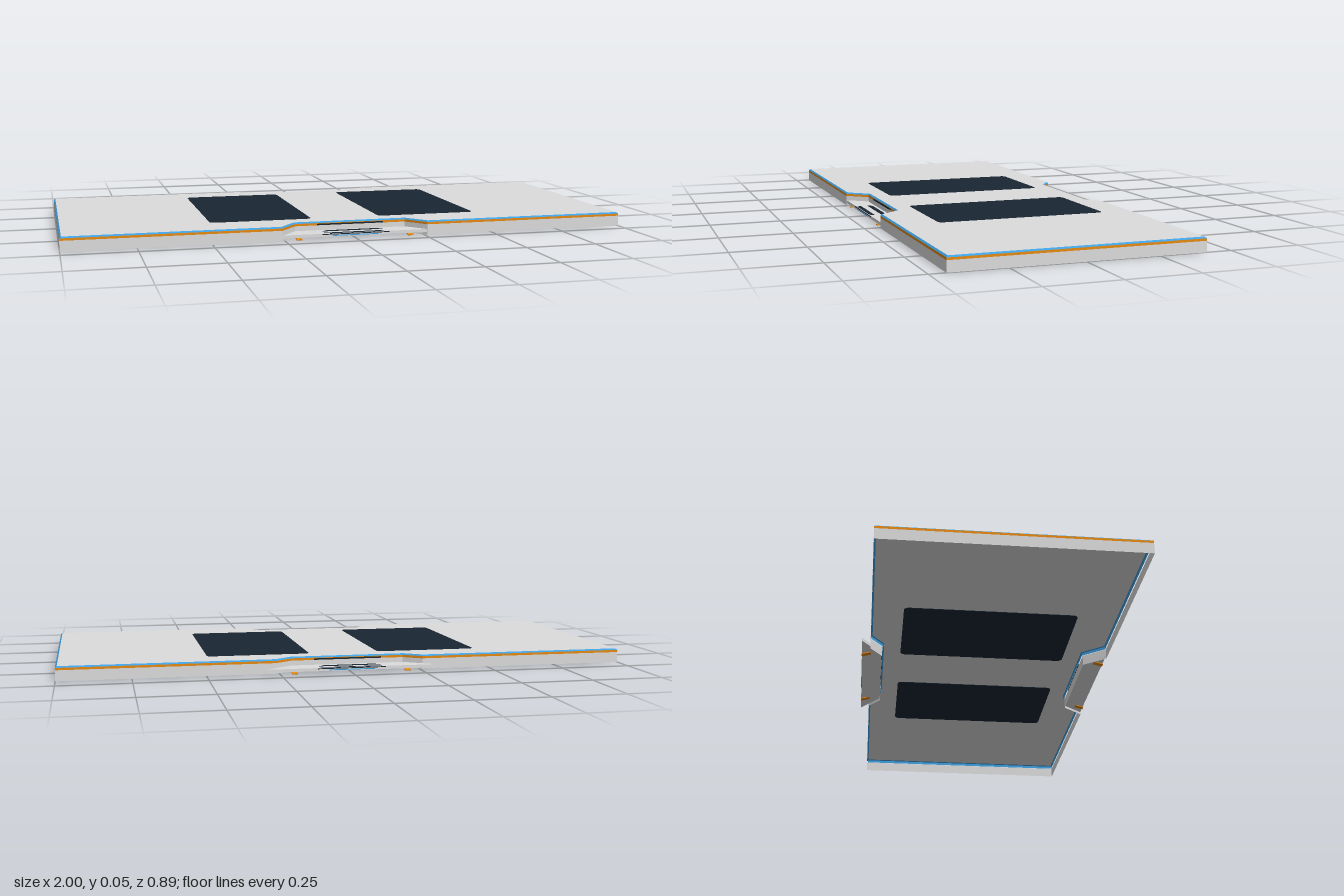
import * as THREE from 'three';

const mat = (name, color, side = THREE.DoubleSide) => {
  const m = new THREE.MeshStandardMaterial({ color, side });
  m.name = name;
  return m;
};

export function createModel() {
  const group = new THREE.Group();
  const grey = mat('light grey', 0xdcdcdc);
  const navy = mat('dark navy', 0x192632);
  const blue = mat('edge blue', 0x3f9fe0);
  const orange = mat('orange', 0xe88a12, THREE.FrontSide);

  const add = (name, geo, material, x = 0, y = 0, z = 0) => {
    const mesh = new THREE.Mesh(geo, material);
    mesh.name = name;
    mesh.position.set(x, y, z);
    group.add(mesh);
    return mesh;
  };

  // Slab outline as [x, z] with a notch front and back, shrunk by d
  const outline = (d) => {
    const k = d * 0.45, w = 1 - d, f = 0.445 - d, b = -0.413 + d, n = 0.37 - d;
    return [
      [-w, f], [-0.26 - k, f], [-0.2 - k, n], [0.2 + k, n], [0.26 + k, f], [w, f],
      [w, b], [0.26 + k, b], [0.2 + k, -n], [-0.2 - k, -n], [-0.26 - k, b], [-w, b],
    ];
  };

  // Strip joining two outlines at two heights
  const band = (lowPts, y0, highPts, y1) => {
    const pos = [];
    lowPts.forEach((a, i) => {
      const j = (i + 1) % lowPts.length;
      const b = lowPts[j], c = highPts[j], d = highPts[i];
      pos.push(a[0], y0, a[1], b[0], y0, b[1], c[0], y1, c[1]);
      pos.push(a[0], y0, a[1], c[0], y1, c[1], d[0], y1, d[1]);
    });
    const geo = new THREE.BufferGeometry();
    geo.setAttribute('position', new THREE.Float32BufferAttribute(pos, 3));
    geo.computeVertexNormals();
    return geo;
  };

  // Flat or extruded shape lying in the xz plane
  const flatShape = (pts) => new THREE.Shape(pts.map(([x, z]) => new THREE.Vector2(x, -z)));
  const slab = (shape, depth) =>
    new THREE.ExtrudeGeometry(shape, { depth, bevelEnabled: false, curveSegments: 6 }).rotateX(-Math.PI / 2);

  // Open-bottomed shell: top sheet, blue chamfer, orange stripe and skirt
  const outer = outline(0), inner = outline(0.006), lining = outline(0.003);
  add('topSheet', new THREE.ShapeGeometry(flatShape(inner)).rotateX(-Math.PI / 2), grey, 0, 0.05);
  add('edgeTrim', band(outer, 0.045, inner, 0.05), blue);
  add('edgeStripe', band(outer, 0.037, outer, 0.045), orange);
  add('stripeLining', band(lining, 0.037, lining, 0.047), blue);
  add('skirt', band(outer, 0, outer, 0.037), grey);

  // Two rounded dark pads let through the top sheet
  const hw = 0.181, hd = 0.3025, r = 0.02;
  const pad = new THREE.Shape();
  pad.moveTo(-hw + r, -hd);
  pad.lineTo(hw - r, -hd).quadraticCurveTo(hw, -hd, hw, -hd + r);
  pad.lineTo(hw, hd - r).quadraticCurveTo(hw, hd, hw - r, hd);
  pad.lineTo(-hw + r, hd).quadraticCurveTo(-hw, hd, -hw, hd - r);
  pad.lineTo(-hw, -hd + r).quadraticCurveTo(-hw, -hd, -hw + r, -hd);
  for (const side of [1, -1]) add(side > 0 ? 'leftPad' : 'rightPad', slab(pad, 0.002), navy, side * 0.305, 0.0484);

  // Latch plates in both notches, with dark slits, a blue lip line and small hooks
  const trapezoid = (w0, z0, w1, z1) => flatShape([[-w0, z0], [w0, z0], [w1, z1], [-w1, z1]]);
  for (const s of [1, -1]) {
    const end = s > 0 ? 'front' : 'back';
    const edge = s > 0 ? 0.26 : 0.3;
    add(end + 'LatchPlate', slab(trapezoid(0.2, s * 0.371, edge, s * 0.4435), 0.011), grey, 0, 0.009);
    const slits = s > 0
      ? [[0.09, 0.382, 0.11, 0.4], [0.11, 0.425, 0.09, 0.441]]
      : [[0.09, -0.39, 0.11, -0.409], [0.11, -0.43, 0.09, -0.442]];
    for (const q of slits) add(end + 'LatchSlit', slab(trapezoid(...q), 0.001), navy, 0, 0.0195);
    add(end + 'WallSlit', new THREE.BoxGeometry(0.24, 0.005, 0.002), navy, 0, 0.04, s * 0.371);
    add(end + 'LipSlit', new THREE.BoxGeometry(0.24, 0.003, 0.002), navy, 0, 0.0175, s * 0.4435);
    add(end + 'LipLine', new THREE.BoxGeometry(0.16, 0.003, 0.002), blue, 0, 0.0125, s * 0.4435);
    for (const x of [-0.2, 0.2]) {
      const hook = add(end + 'Hook', new THREE.BoxGeometry(0.02, 0.003, 0.034), orange, x, 0.006, s * 0.427);
      hook.rotation.x = s * 0.25;
    }
  }
  return group;
}
